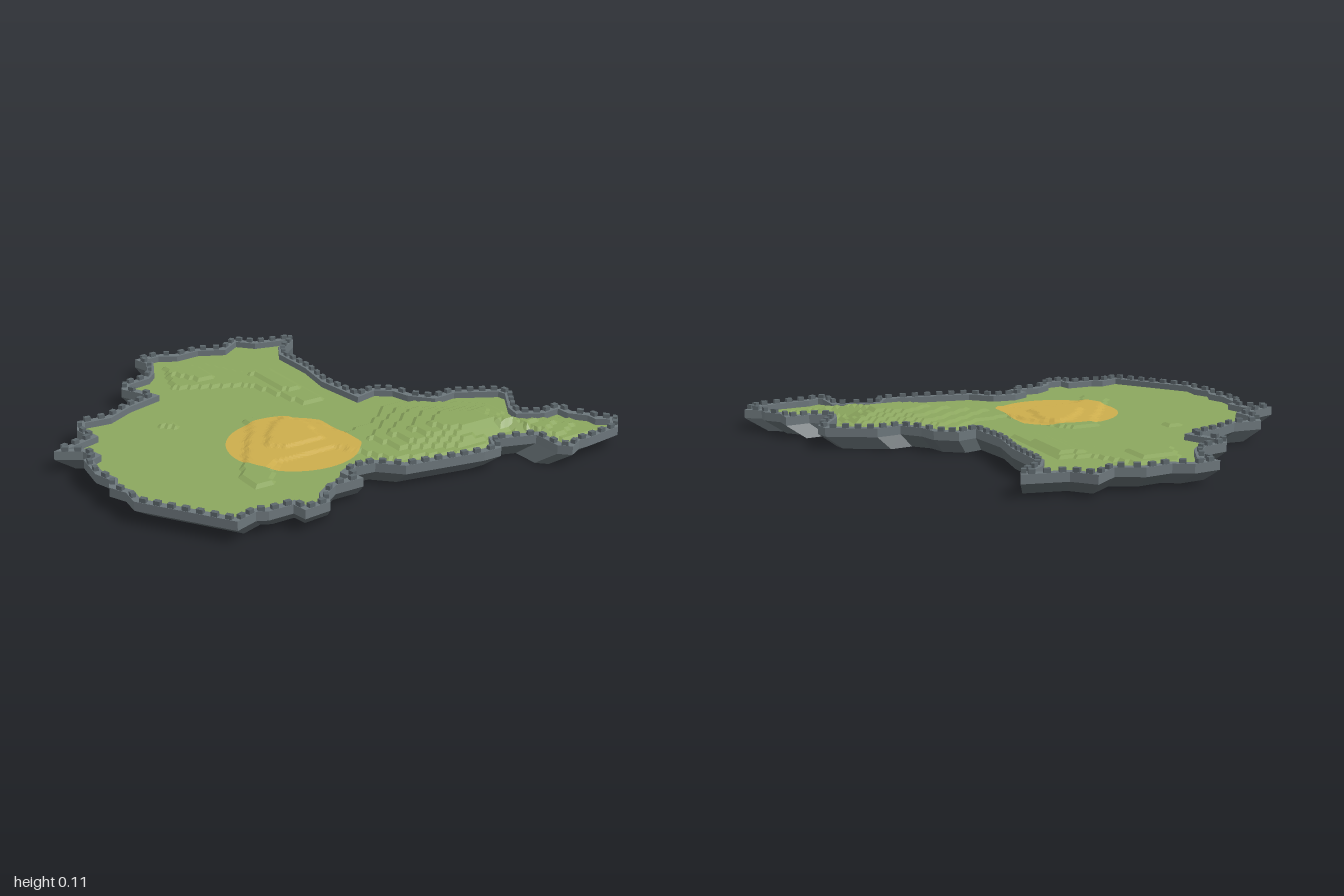
import * as THREE from 'three';
import { mergeGeometries } from 'three/addons/utils/BufferGeometryUtils.js';

const DS = THREE.DoubleSide;
const mat = (name, color, side = THREE.FrontSide) =>
  new THREE.MeshStandardMaterial({ name, color, side });

// Coastline as x, z pairs, clockwise seen from above
const COAST = [
  -.29, -.87, -.18, -.88, -.11, -.84, 0, -.85, .1, -.8, .2, -.87, .27, -.79, .44, -.75, .42, -.71,
  .34, -.65, .3, -.58, .3, -.38, .27, -.21, .29, -.02, .37, -.04, .45, .02, .47, .1, .53, .17,
  .63, .16, .81, .26, .82, .32, .73, .45, .72, .49, .79, .53, .89, .52, .89, .6, .94, .66,
  .94, .7, 1, .745, .93, .82, .76, .84, .71, .84, .65, .87, .61, .83, .61, .71,
  .46, .66, .42, .73, .34, .73, .02, .67, -.06, .59, -.14, .58, -.18, .6, -.17, .67, -.29, .67,
  -.35, .71, -.38, .77, -.49, .78, -.5, .72, -.6, .72, -.64, .7, -.73, .73, -.95, .4, -.94, .32,
  -.97, .25, -.94, .19, -.96, .12, -.94, -.02, -.9, -.04, -.91, -.09, -1, -.15,
  -.83, -.21, -.84, -.29, -.8, -.37, -.68, -.36, -.57, -.42, -.44, -.46, -.46, -.51, -.5, -.585,
  -.465, -.64, -.36, -.66, -.32, -.7, -.27, -.8,
];

const pairs = (a) => Array.from({ length: a.length / 2 }, (_, i) => new THREE.Vector2(a[2 * i], a[2 * i + 1]));
const coast = pairs(COAST);

// Move a closed outline inwards with limited mitres
function inset(pts, d) {
  const n = pts.length;
  return pts.map((p, i) => {
    const a = p.clone().sub(pts[(i + n - 1) % n]).normalize();
    const b = pts[(i + 1) % n].clone().sub(p).normalize();
    const na = new THREE.Vector2(-a.y, a.x), nb = new THREE.Vector2(-b.y, b.x);
    const m = na.clone().add(nb).normalize();
    return p.clone().addScaledVector(m, d / Math.max(m.dot(na), 0.6));
  });
}

function inside(x, z, poly) {
  let hit = false;
  for (let i = 0, j = poly.length - 1; i < poly.length; j = i++) {
    const a = poly[i], b = poly[j];
    if ((a.y > z) !== (b.y > z) && x < ((b.x - a.x) * (z - a.y)) / (b.y - a.y) + a.x) hit = !hit;
  }
  return hit;
}

function fromTriangles(pos) {
  const g = new THREE.BufferGeometry();
  g.setAttribute('position', new THREE.Float32BufferAttribute(pos, 3));
  g.computeVertexNormals();
  return g;
}

// Flat-faced band through a list of [outline, y] rings
function loft(rings) {
  const pos = [];
  for (let r = 0; r + 1 < rings.length; r++) {
    const [A, ya] = rings[r], [B, yb] = rings[r + 1];
    A.forEach((a, i) => {
      const k = (i + 1) % A.length, c = A[k], b = B[i], d = B[k];
      pos.push(a.x, ya, a.y, b.x, yb, b.y, c.x, ya, c.y);
      pos.push(c.x, ya, c.y, b.x, yb, b.y, d.x, yb, d.y);
    });
  }
  return fromTriangles(pos);
}

// Terraces: each polygon raises the ground inside it by one step
const southEast = pairs([.08, .36, .35, .17, .66, .36, .63, .5, .84, .68, .7, .74, .62, .59, .33, .61, .12, .51]);
const summit = new THREE.Vector2(.48, .47);
const TERRACES = [
  pairs([-.2, -.76, -.03, -.7, .05, -.54, .18, -.5, .18, -.09, .08, -.09, 0, -.38, -.29, -.53]),
  pairs([-.22, -.66, -.08, -.67, -.08, -.53, -.17, -.54]),
  pairs([.06, -.49, .15, -.46, .15, -.22, .08, -.24]),
  pairs([-.52, -.2, -.47, -.2, -.46, -.15, -.5, -.16]),
  pairs([-.5, .38, -.25, .02, -.22, -.07, -.1, -.06, 0, .12, .03, .25, .2, .22, .33, .1, .5, .15, .7, .33,
    .67, .5, .86, .6, .88, .76, .7, .78, .61, .63, .3, .65, .05, .56, -.07, .35, -.35, .35, -.45, .5, -.52, .5]),
  pairs([-.3, .22, -.17, .05, -.08, 0, -.05, .1, -.07, .27, -.24, .27]),
  ...[1, .82, .62, .42].map((s) => southEast.map((p) => p.clone().sub(summit).multiplyScalar(s).add(summit))),
];
const BASE = 0.06, STEP = 0.0095, CELL = 0.02;
const cache = new Map();
function nodeHeight(i, j) {
  const key = i * 1000 + j;
  if (!cache.has(key)) {
    const level = TERRACES.filter((t) => inside(i * CELL + 0.001, j * CELL + 0.001, t)).length;
    cache.set(key, BASE + level * STEP);
  }
  return cache.get(key);
}
function groundHeight(x, z) {
  const i = Math.floor(x / CELL), j = Math.floor(z / CELL), u = x / CELL - i, v = z / CELL - j;
  const L = THREE.MathUtils.lerp;
  return L(L(nodeHeight(i, j), nodeHeight(i + 1, j), u), L(nodeHeight(i, j + 1), nodeHeight(i + 1, j + 1), u), v);
}

// Stepped ground, its ragged rim hidden inside the wall
function terrainGeometry() {
  const limit = inset(coast, 0.015), pos = [];
  const node = (i, j) => pos.push(i * CELL, nodeHeight(i, j), j * CELL);
  for (let i = -50; i < 50; i++) for (let j = -45; j < 45; j++) {
    if (!inside((i + 0.5) * CELL, (j + 0.5) * CELL, limit)) continue;
    node(i, j); node(i, j + 1); node(i + 1, j);
    node(i + 1, j); node(i, j + 1); node(i + 1, j + 1);
  }
  return fromTriangles(pos);
}

// Round patch draped over the ground
function patchGeometry() {
  const RINGS = 26, SEG = 64, pos = [];
  const put = (r, s) => {
    const a = (s / SEG) * Math.PI * 2, R = (r / RINGS) * 0.258;
    const x = Math.min(-0.185 + R * Math.cos(a), 0.032), z = 0.232 + R * Math.sin(a);
    pos.push(x, groundHeight(x, z), z);
  };
  for (let r = 0; r < RINGS; r++) for (let s = 0; s < SEG; s++) {
    put(r, s); put(r, s + 1); put(r + 1, s);
    put(r + 1, s); put(r, s + 1); put(r + 1, s + 1);
  }
  return fromTriangles(pos);
}

// Small blocks spaced along the top of the wall
function merlonGeometry() {
  const line = inset(coast, 0.011), blocks = [];
  line.forEach((p, i) => {
    const q = line[(i + 1) % line.length], len = p.distanceTo(q);
    const count = Math.max(1, Math.round(len / 0.055));
    for (let k = 0; k < count; k++) {
      const c = p.clone().lerp(q, (k + 0.5) / count);
      const g = new THREE.BoxGeometry(Math.min(0.025, len * 0.6), 0.017, 0.018);
      g.rotateY(-Math.atan2(q.y - p.y, q.x - p.x));
      blocks.push(g.translate(c.x, 0.0925, c.y));
    }
  });
  return mergeGeometries(blocks);
}

export function createModel() {
  const model = new THREE.Group();
  model.name = 'walledIsland';
  const grass = mat('grass green', 0x8ba65e, DS);
  const sand = mat('sand yellow', 0xcbac4c, DS);
  const stone = mat('wall grey', 0x6c767b, DS);
  const rock = mat('rock grey', 0x555e62, DS);
  const block = mat('merlon grey', 0x5c666b);
  const add = (name, geometry, material, y = 0) => {
    const m = new THREE.Mesh(geometry, material);
    m.name = name;
    m.position.y = y;
    model.add(m);
  };

  add('terrain', terrainGeometry(), grass);
  const patch = patchGeometry();
  add('sandPatch', patch, sand, 0.0035);
  add('sandPatchUnderside', patch, sand, -0.0035);

  // Upright wall, with a skirt tapering to the base
  const inner = inset(coast, 0.03);
  const foot = coast.map((p) => p.clone().multiplyScalar(0.92));
  add('wall', loft([[coast, 0.05], [coast, 0.085], [inner, 0.085], [inner, 0.05], [coast, 0.05]]), stone);
  add('cliffSkirt', loft([[foot, 0], [coast, 0.05]]), rock);
  add('merlons', merlonGeometry(), block);
  return model;
}
